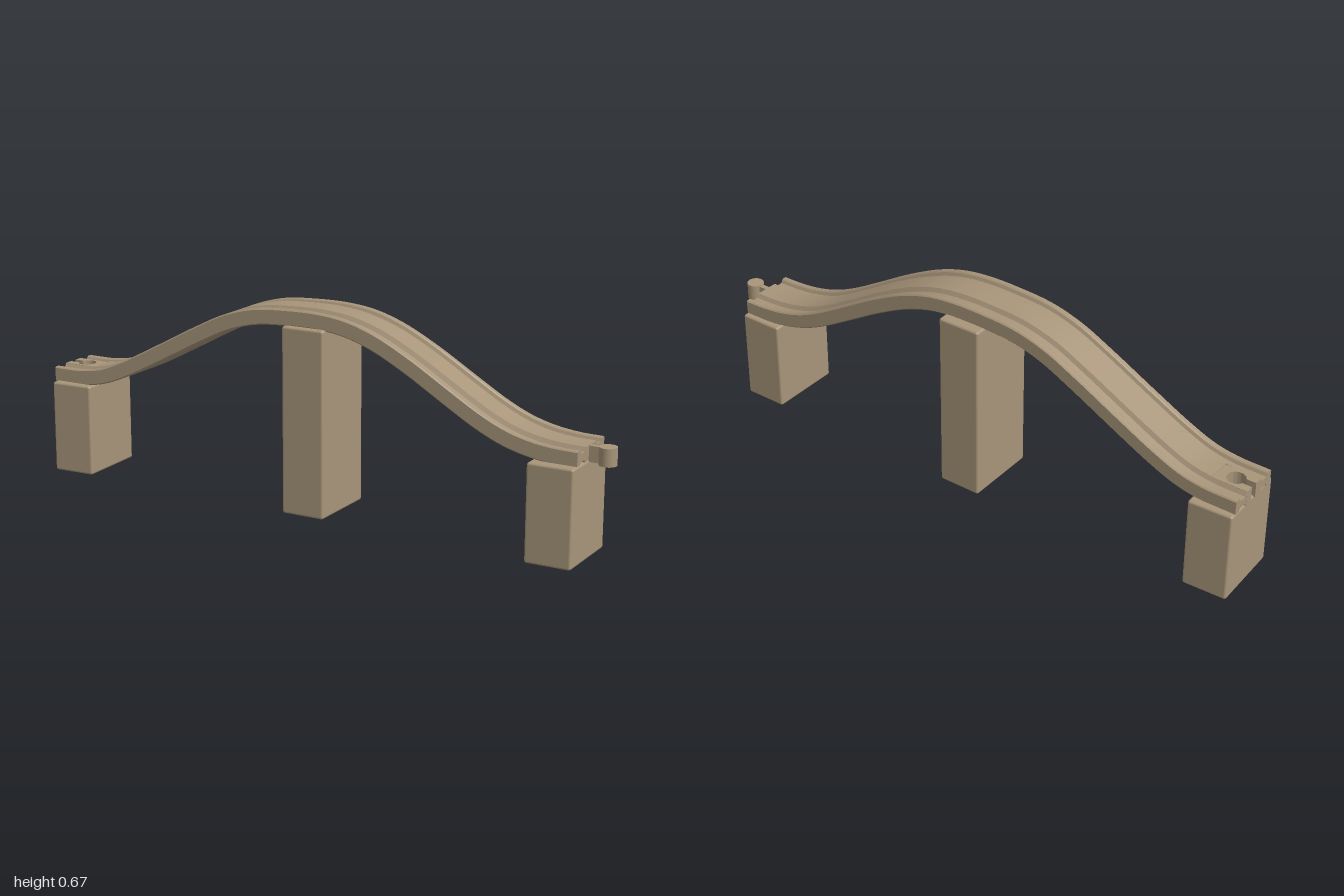
import * as THREE from 'three';
import { toCreasedNormals } from 'three/addons/utils/BufferGeometryUtils.js';
import { RoundedBoxGeometry } from 'three/addons/geometries/RoundedBoxGeometry.js';

const wood = new THREE.MeshStandardMaterial({ color: 0xa8957a });
wood.name = 'wood';

const THICK = 0.052;

// Line followed by the top of the track
const path = new THREE.CatmullRomCurve3([
  [-0.99, 0.376], [-0.88, 0.378], [-0.8, 0.392], [-0.71, 0.428], [-0.58, 0.494], [-0.42, 0.578],
  [-0.31, 0.63], [-0.2, 0.661], [-0.08, 0.671], [0.04, 0.671], [0.14, 0.658], [0.24, 0.626],
  [0.36, 0.567], [0.5, 0.485], [0.6, 0.428], [0.68, 0.392], [0.76, 0.37], [0.84, 0.36], [0.915, 0.358],
].map(([x, y]) => new THREE.Vector3(x, y, 0)));

// Sweeps a cross-section (across, height above the top line) along part of the path
function sweep(points, from) {
  const shape = new THREE.Shape(points.map(([a, b]) => new THREE.Vector2(a, b)));
  const geo = new THREE.ExtrudeGeometry(shape, { depth: 1, steps: 90, bevelEnabled: false });
  const pos = geo.attributes.position;
  for (let i = 0; i < pos.count; i++) {
    const u = Math.min(1, from + (1 - from) * pos.getZ(i));
    const p = path.getPointAt(u);
    const t = path.getTangentAt(u);
    const h = pos.getY(i);
    pos.setXYZ(i, p.x - t.y * h, p.y + t.x * h, -pos.getX(i));
  }
  return toCreasedNormals(geo, 0.4);
}

export function createModel() {
  const group = new THREE.Group();
  const add = (name, geo, x = 0, y = 0, z = 0) => {
    const mesh = new THREE.Mesh(geo, wood);
    mesh.name = name;
    mesh.position.set(x, y, z);
    group.add(mesh);
    return mesh;
  };

  // Grooved side rails, with wheel grooves above and below
  const upper = [[0.04, 0], [0.048, -0.013], [0.074, -0.013], [0.079, -0.003], [0.083, 0], [0.096, 0], [0.1, -0.004]];
  const rail = [...upper, ...upper.map(([a, b]) => [a, -THICK - b]).reverse()];
  add('rightRail', sweep(rail, 0));
  add('leftRail', sweep(rail.map(([a, b]) => [-a, b]), 0));

  // Raised strip between the grooves, starting behind the socket
  const strip = [[-0.04, 0], [0.04, 0], [0.04, -THICK], [-0.04, -THICK]];
  add('centreStrip', sweep(strip, 0.12 / path.getLength()));

  // Keyhole socket at one end
  const cx = -0.93, r = 0.03, neck = 0.012;
  const a = Math.PI - Math.asin(neck / r);
  const socket = new THREE.Shape();
  socket.moveTo(-0.99, -0.04);
  socket.lineTo(-0.868, -0.04);
  socket.lineTo(-0.868, 0.04);
  socket.lineTo(-0.99, 0.04);
  socket.lineTo(-0.99, neck);
  socket.absarc(cx, 0, r, a, -a, true);
  socket.lineTo(-0.99, -neck);
  const socketGeo = new THREE.ExtrudeGeometry(socket, { depth: THICK, bevelEnabled: false, curveSegments: 24 });
  socketGeo.rotateX(Math.PI / 2);
  add('socketEnd', toCreasedNormals(socketGeo, 0.5), 0, 0.377, 0);

  // Round peg on a narrow neck at the other end
  add('pegNeck', new THREE.BoxGeometry(0.06, 0.05, 0.018), 0.93, 0.331, 0.006);
  add('pegHead', new THREE.CylinderGeometry(0.028, 0.028, 0.056, 28), 0.972, 0.331, 0.007);

  // Support blocks: x range, y range, z range, slight turn
  const blocks = [
    ['shortSupportRight', -0.987, -0.838, 0.022, 0.33, -0.123, 0.124, 0.04],
    ['tallSupport', -0.083, 0.066, 0.012, 0.622, -0.134, 0.118, 0],
    ['shortSupportLeft', 0.766, 0.917, 0, 0.312, -0.118, 0.132, 0],
  ];
  for (const [name, x0, x1, y0, y1, z0, z1, turn] of blocks) {
    const geo = new RoundedBoxGeometry(x1 - x0, y1 - y0, z1 - z0, 2, 0.008);
    add(name, geo, (x0 + x1) / 2, (y0 + y1) / 2, (z0 + z1) / 2).rotation.y = turn;
  }
  return group;
}
